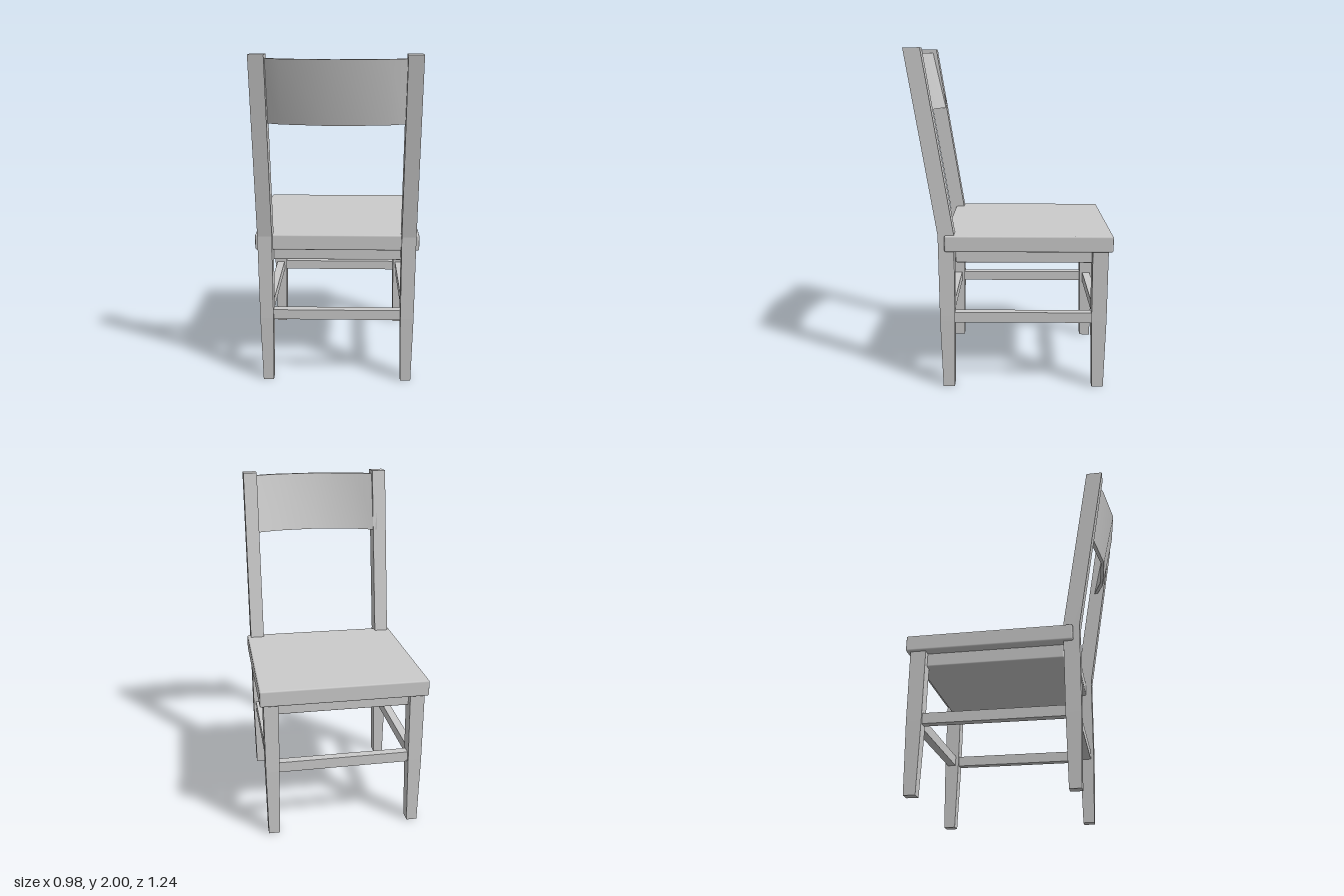
import * as THREE from 'three';
import { RoundedBoxGeometry } from 'three/addons/geometries/RoundedBoxGeometry.js';
import { toCreasedNormals } from 'three/addons/utils/BufferGeometryUtils.js';

const material = new THREE.MeshStandardMaterial({ color: 0xcccccc });

function addPart(group, name, geometry, x = 0, y = 0, z = 0) {
  const mesh = new THREE.Mesh(geometry, material);
  mesh.name = name;
  mesh.position.set(x, y, z);
  group.add(mesh);
}

// Square post through levels of [y, centre z, half width, half depth]
function postGeometry(levels) {
  const n = levels.length - 1;
  const geometry = new THREE.BoxGeometry(2, 1, 2, 1, n, 1);
  const p = geometry.attributes.position;
  for (let i = 0; i < p.count; i++) {
    const [y, z, w, d] = levels[Math.round((p.getY(i) + 0.5) * n)];
    p.setXYZ(i, p.getX(i) * w, y, z + p.getZ(i) * d);
  }
  return toCreasedNormals(geometry, 0.01);
}

// Curved, backward-leaning top rail
function crestGeometry() {
  const inner = [[-0.41, 0.484], [-0.27, 0.548], [-0.015, 0.596], [0.245, 0.571], [0.41, 0.515]];
  const outer = [[0.41, 0.534], [0.272, 0.591], [-0.02, 0.617], [-0.305, 0.567], [-0.41, 0.518]];
  const shape = new THREE.Shape([...inner, ...outer].map(([x, z]) => new THREE.Vector2(x, z)));
  const top = 1.978;
  const geometry = new THREE.ExtrudeGeometry(shape, { depth: 0.36, bevelEnabled: false });
  geometry.rotateX(Math.PI / 2).translate(0, top, 0);
  const p = geometry.attributes.position;
  for (let i = 0; i < p.count; i++) p.setZ(i, p.getZ(i) - (top - p.getY(i)) * 0.22);
  return toCreasedNormals(geometry, 0.6);
}

export function createModel() {
  const chair = new THREE.Group();
  chair.name = 'chair';

  // Seat board on a smaller solid block
  addPart(chair, 'seat', new RoundedBoxGeometry(0.979, 0.096, 0.978, 1, 0.01), -0.001, 0.892, -0.132);
  addPart(chair, 'seatBlock', new RoundedBoxGeometry(0.85, 0.085, 0.852, 1, 0.008), -0.001, 0.807, -0.129);
  addPart(chair, 'crestRail', crestGeometry());

  // Legs: tapered below the stretchers, rear pair rising into the back posts
  const legX = 0.4255;
  const rearZ = 0.346, frontZ = -0.55;
  const rear = [
    [0, rearZ - 0.003, 0.032, 0.034], [0.42, rearZ, 0.04, 0.044],
    [0.94, rearZ + 0.002, 0.043, 0.047], [2, 0.521, 0.043, 0.048],
  ];
  const front = [[0, frontZ, 0.032, 0.034], [0.42, frontZ, 0.04, 0.044], [0.86, frontZ, 0.043, 0.046]];

  const frame = new THREE.Group();
  frame.name = 'frame';
  frame.position.x = -0.002;
  chair.add(frame);

  const length = rearZ - frontZ - 0.06;
  const stretcherY = 0.435;
  for (const [side, s] of [['left', 1], ['right', -1]]) {
    addPart(frame, side + 'RearPost', postGeometry(rear), s * legX);
    addPart(frame, side + 'FrontLeg', postGeometry(front), s * legX);
    addPart(frame, side + 'Stretcher', new THREE.BoxGeometry(0.05, 0.062, length),
      s * legX, stretcherY, (rearZ + frontZ) / 2);
  }
  for (const [end, z] of [['rear', rearZ], ['front', frontZ]]) {
    addPart(frame, end + 'Stretcher', new THREE.BoxGeometry(legX * 2 - 0.06, 0.062, 0.05), 0, stretcherY, z);
  }
  return chair;
}
